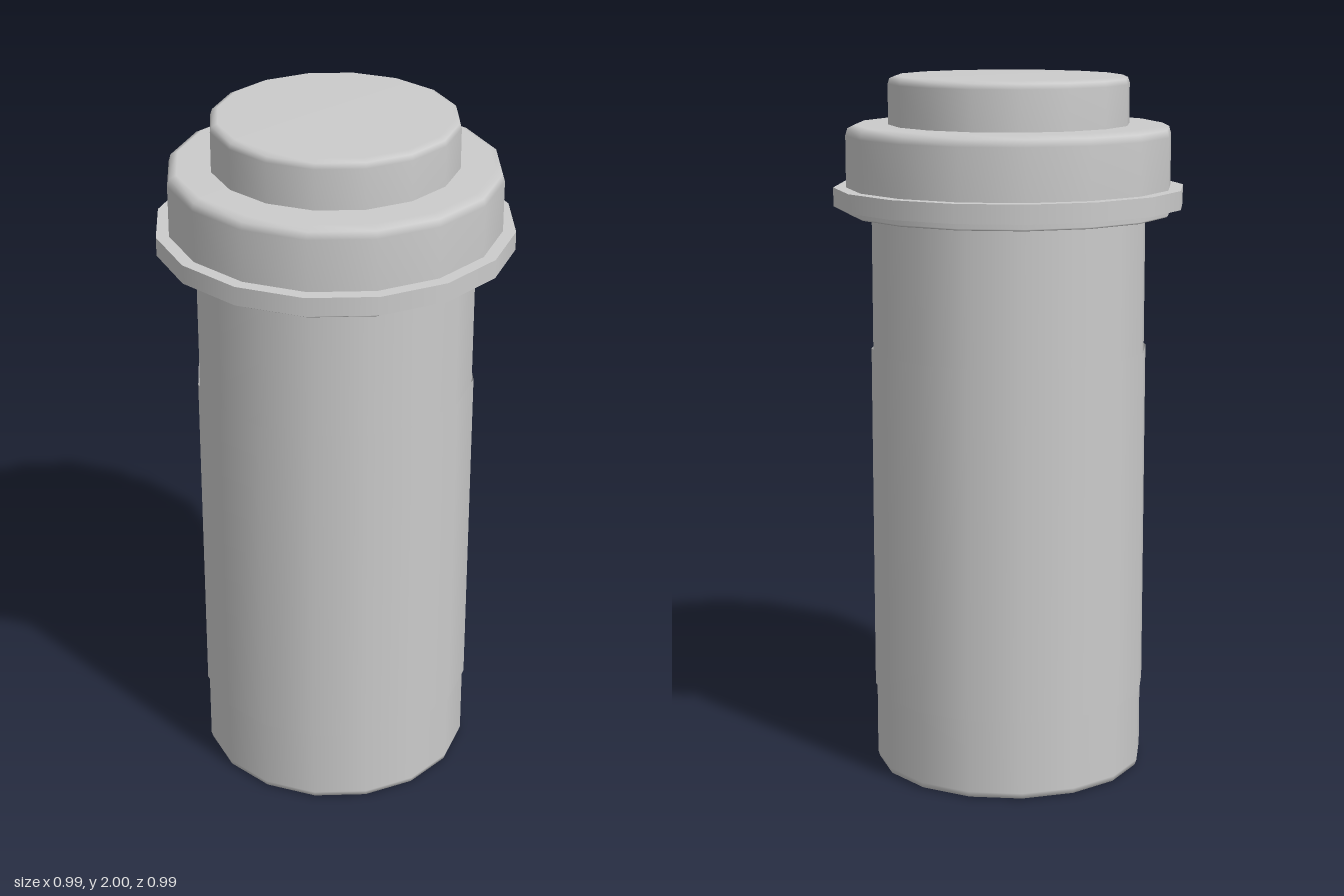
import * as THREE from 'three';

const SIDES = 16;
const grey = new THREE.MeshStandardMaterial({ color: 0xcccccc });
const greyDouble = new THREE.MeshStandardMaterial({ color: 0xcccccc, side: THREE.DoubleSide });

// Smooth 16-sided turned part from a profile of [radius, height], bottom to top
function turned(name, profile) {
  const points = profile.map(([r, y]) => new THREE.Vector2(r, y));
  const mesh = new THREE.Mesh(new THREE.LatheGeometry(points, SIDES), grey);
  mesh.name = name;
  return mesh;
}

// Straight 16-sided band with sharp rims
function band(name, radius, bottom, top, open) {
  const geometry = new THREE.CylinderGeometry(radius, radius, top - bottom, SIDES, 1, open);
  geometry.translate(0, (bottom + top) / 2, 0);
  const mesh = new THREE.Mesh(geometry, open ? greyDouble : grey);
  mesh.name = name;
  return mesh;
}

export function createModel() {
  const group = new THREE.Group();
  group.name = 'bottle';

  // Container with a softened bottom edge
  group.add(turned('body', [[0, 0], [0.375, 0], [0.385, 0.004], [0.39, 0.02], [0.39, 1.62]]));

  // Thin wrap around the container
  group.add(band('label', 0.395, 0.23, 1.23, true));

  // Lid with a rounded shoulder and a flat underside
  group.add(turned('lid', [
    [0, 1.615], [0.455, 1.615], [0.461, 1.62],
    [0.461, 1.835], [0.455, 1.855], [0.435, 1.865], [0, 1.865],
  ]));

  // Projecting rim near the foot of the lid
  group.add(band('lidRim', 0.497, 1.637, 1.69, false));

  // Raised button on the lid
  group.add(turned('lidKnob', [
    [0.341, 1.86], [0.341, 1.978], [0.336, 1.993], [0.32, 2], [0, 2],
  ]));

  return group;
}
